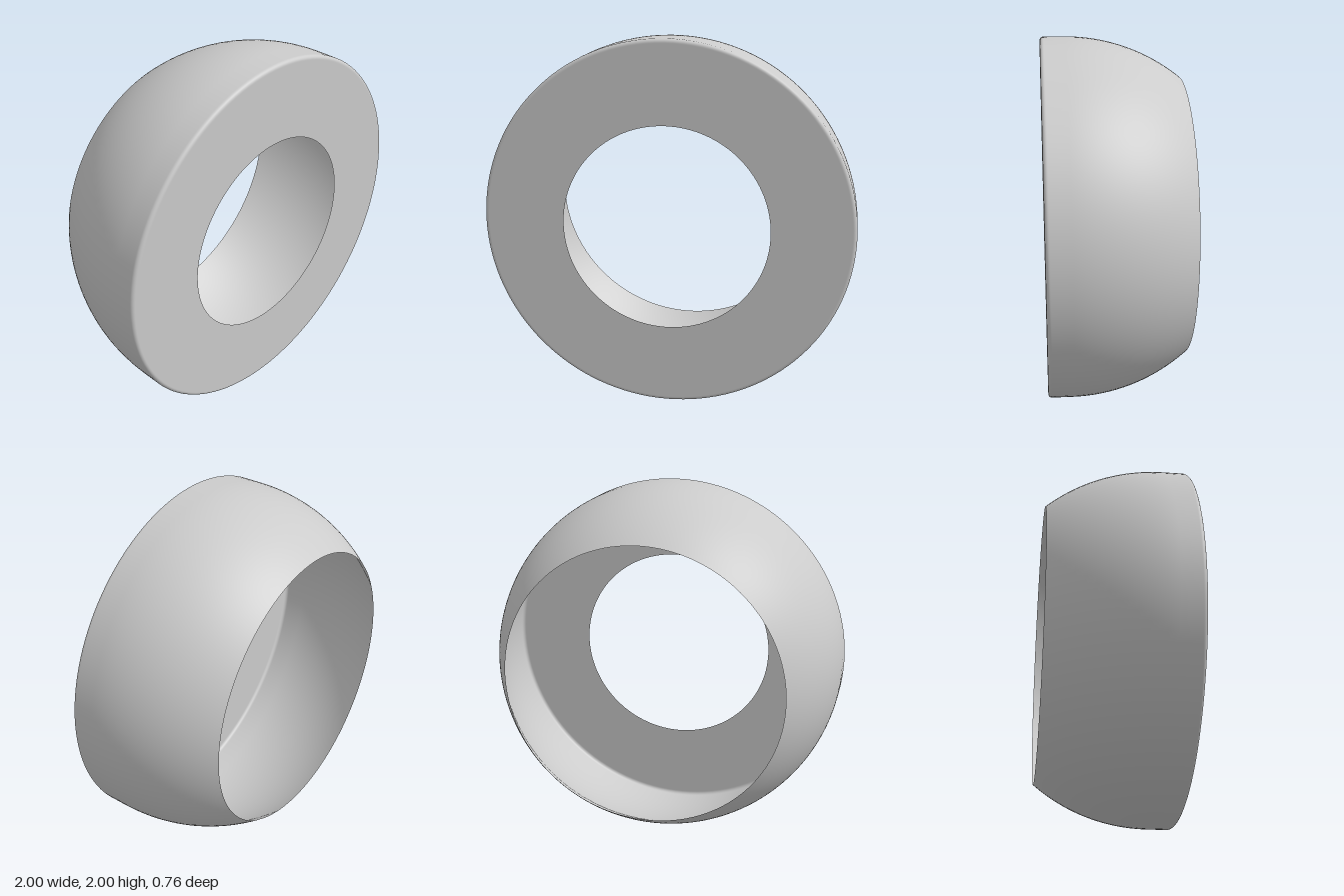
import * as THREE from 'three';

export function createModel() {
  const group = new THREE.Group();
  const material = new THREE.MeshStandardMaterial({ color: 0xcccccc, side: THREE.DoubleSide });

  const front = 0.38, back = -0.38, bulgeCentre = 0.25, fillet = 0.02, holeRadius = 0.557;
  const profile = [];

  // Spherical bulge, from the open back rim to the widest point
  const start = Math.asin((back - bulgeCentre) / 1);
  for (let i = 0; i <= 24; i++) {
    const a = start * (1 - i / 24);
    profile.push(new THREE.Vector2(Math.cos(a), bulgeCentre + Math.sin(a)));
  }

  // Short straight band, then a small rounded front edge
  profile.push(new THREE.Vector2(1, front - fillet - 0.004));
  for (let i = 0; i <= 8; i++) {
    const a = (i / 8) * Math.PI / 2;
    profile.push(new THREE.Vector2(1 - fillet + fillet * Math.cos(a), front - fillet + fillet * Math.sin(a)));
  }

  // Flat front ring up to the round opening
  profile.push(new THREE.Vector2(1 - fillet - 0.004, front));
  profile.push(new THREE.Vector2(holeRadius, front));

  const geometry = new THREE.LatheGeometry(profile, 128);
  geometry.rotateX(Math.PI / 2);
  const shell = new THREE.Mesh(geometry, material);
  shell.name = 'roundedRingShell';
  shell.position.y = 1;
  group.add(shell);
  return group;
}
